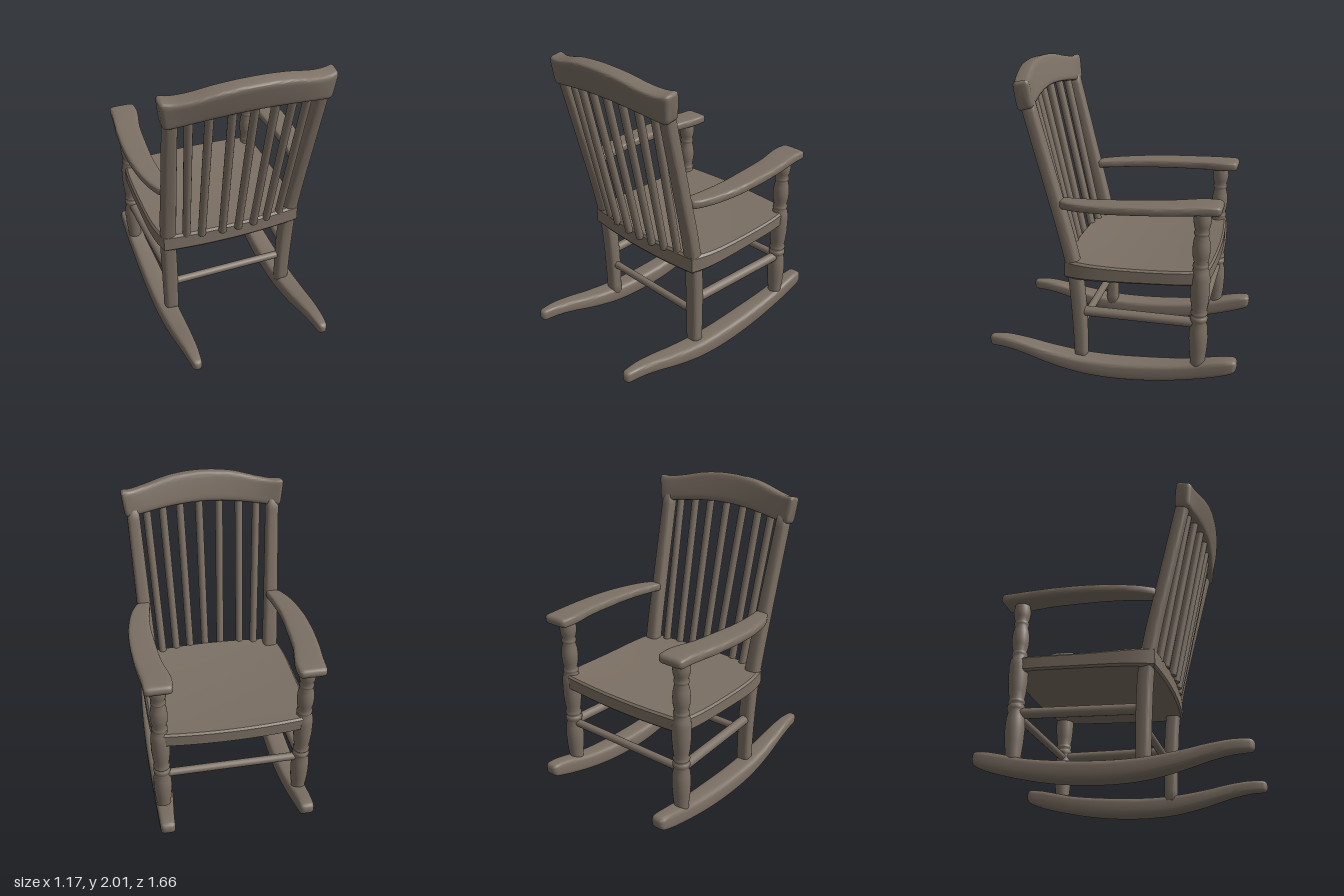
import * as THREE from 'three';
import { toCreasedNormals } from 'three/addons/utils/BufferGeometryUtils.js';

const V = (x, y, z) => new THREE.Vector3(x, y, z);

// Smooth loft through rows; the first number of a row is the position along the part.
// section(row) gives the centre c and half axes u, v; r rounds the two ends.
function loft(rows, section, { steps = 28, power = 4, r = 0.02, sides = 32 } = {}) {
  const stride = rows[0].length;
  const curve = new THREE.CubicInterpolant(rows.map(q => q[0]), rows.flat(), stride);
  const a = rows[0][0], b = rows[rows.length - 1][0];
  const fr = [0, 0.1, 0.35, 0.65];
  const ts = fr.map(f => a + f * r);
  for (let i = 0; i <= steps; i++) ts.push(a + r + (b - a - 2 * r) * i / steps);
  ts.push(...fr.map(f => b - f * r).reverse());

  const pos = [], idx = [];
  for (const t of ts) {
    const { c, u, v } = section(Array.from(curve.evaluate(t)));
    const f = Math.min(1, (t - a) / r, (b - t) / r);
    const cut = r * (1 - Math.sqrt(Math.max(0, 1 - (1 - f) ** 2)));
    u.setLength(Math.max(0.004, u.length() - cut));
    v.setLength(Math.max(0.004, v.length() - cut));
    for (let j = 0; j < sides; j++) {
      const w = j / sides * Math.PI * 2, cs = Math.cos(w), sn = Math.sin(w);
      const p = c.clone()
        .addScaledVector(u, Math.sign(cs) * Math.abs(cs) ** (2 / power))
        .addScaledVector(v, Math.sign(sn) * Math.abs(sn) ** (2 / power));
      pos.push(p.x, p.y, p.z);
    }
  }
  const n = ts.length;
  for (let i = 0; i < n - 1; i++) for (let j = 0; j < sides; j++) {
    const k = (j + 1) % sides, p = i * sides, q = p + sides;
    idx.push(p + j, p + k, q + j, p + k, q + k, q + j);
  }
  for (let j = 1; j < sides - 1; j++) {
    const e = (n - 1) * sides;
    idx.push(0, j + 1, j, e, e + j, e + j + 1);
  }
  const g = new THREE.BufferGeometry();
  g.setAttribute('position', new THREE.Float32BufferAttribute(pos, 3));
  g.setIndex(idx);
  return toCreasedNormals(g, 0.9);
}

// Round bar between two points
function rod(p, q, radius) {
  const d = q.clone().sub(p);
  const g = new THREE.CylinderGeometry(radius, radius, d.length(), 16);
  g.applyQuaternion(new THREE.Quaternion().setFromUnitVectors(V(0, 1, 0), d.normalize()));
  const m = p.clone().add(q).multiplyScalar(0.5);
  return g.translate(m.x, m.y, m.z);
}

// Dished seat board, wider in the middle, bowed at front and back
function seatGeometry() {
  const g = new THREE.BoxGeometry(2, 2, 2, 20, 4, 20), a = g.attributes.position;
  for (let i = 0; i < a.count; i++) {
    const px = a.getX(i), py = a.getY(i), pz = a.getZ(i);
    const inset = Math.abs(py) > 0.9 ? 0.975 : 1;
    const h = Math.abs(py) > 0.4 && Math.abs(py) < 0.9 ? Math.sign(py) * 0.75 : py;
    const x = px * 0.515 * inset * (1 - (pz > 0 ? 0.08 : 0.05) * Math.abs(pz) ** 4);
    const z = -0.17 + pz * inset * (0.455 + 0.03 * (1 - px * px));
    const t = (pz + 1) / 2;
    const top = 0.83 - 0.025 * t - 0.015 * (1 - pz * pz) - 0.012 * (1 - px * px) * (1 - pz * pz);
    const bottom = 0.73 - 0.05 * t;
    a.setXYZ(i, x, bottom + (top - bottom) * (h + 1) / 2, z);
  }
  return toCreasedNormals(g, 0.6);
}

export function createModel() {
  const chair = new THREE.Group();
  chair.name = 'rockingChair';
  const wood = new THREE.MeshStandardMaterial({ color: 0x7c7064 });
  wood.name = 'weathered wood';
  const add = (name, geometry) => {
    const m = new THREE.Mesh(geometry, wood);
    m.name = name;
    chair.add(m);
    return m;
  };

  add('seat', seatGeometry());

  // Section tables: [z, x, halfWidth, bottom, top] for parts running along z
  const alongZ = s => ([z, x, w, lo, hi]) =>
    ({ c: V(s * x, (lo + hi) / 2, z), u: V(w, 0, 0), v: V(0, (hi - lo) / 2, 0) });
  const rockerRows = [
    [-0.83, 0.46, 0.047, 0.155, 0.235], [-0.76, 0.46, 0.05, 0.125, 0.232],
    [-0.5, 0.45, 0.062, 0.055, 0.172], [-0.25, 0.445, 0.07, 0.014, 0.14],
    [0, 0.445, 0.072, 0, 0.124], [0.2, 0.445, 0.07, 0.01, 0.127],
    [0.4, 0.445, 0.064, 0.047, 0.15], [0.6, 0.445, 0.052, 0.1, 0.186],
    [0.72, 0.445, 0.042, 0.12, 0.2], [0.835, 0.445, 0.028, 0.122, 0.195]];
  const armRows = [
    [-0.7, 0.462, 0.085, 1.2, 1.262], [-0.6, 0.462, 0.09, 1.198, 1.262],
    [-0.4, 0.492, 0.083, 1.188, 1.25], [-0.2, 0.505, 0.08, 1.178, 1.239],
    [0, 0.505, 0.072, 1.167, 1.226], [0.2, 0.478, 0.06, 1.156, 1.213],
    [0.31, 0.445, 0.044, 1.15, 1.206]];
  // Back posts: [y, x, z, halfWidth, halfDepth]
  const postRows = [
    [0.09, 0.42, 0.198, 0.046, 0.042], [0.4, 0.422, 0.205, 0.05, 0.046],
    [0.7, 0.43, 0.226, 0.05, 0.047], [0.95, 0.438, 0.275, 0.049, 0.046],
    [1.2, 0.446, 0.337, 0.046, 0.045], [1.82, 0.466, 0.492, 0.041, 0.045]];
  // Turned front leg: [radius, y]
  const legProfile = [
    [0, 0.1], [0.044, 0.1], [0.047, 0.2], [0.056, 0.28], [0.06, 0.36], [0.057, 0.43],
    [0.047, 0.47], [0.054, 0.485], [0.056, 0.5], [0.052, 0.512], [0.045, 0.518],
    [0.053, 0.528], [0.054, 0.54], [0.046, 0.553], [0.054, 0.6], [0.06, 0.67],
    [0.061, 0.77], [0.055, 0.815], [0.044, 0.835], [0.05, 0.848], [0.05, 0.862],
    [0.042, 0.873], [0.052, 0.915], [0.055, 0.96], [0.051, 1.01], [0.041, 1.048],
    [0.047, 1.06], [0.048, 1.072], [0.041, 1.085], [0.05, 1.11], [0.055, 1.15],
    [0.05, 1.19], [0.045, 1.22], [0, 1.22]].map(p => new THREE.Vector2(...p));

  for (const s of [-1, 1]) {
    const side = s > 0 ? 'left' : 'right';
    add(side + 'Rocker', loft(rockerRows, alongZ(s), { r: 0.03, steps: 36 }));
    add(side + 'Armrest', loft(armRows, alongZ(s), { r: 0.028, power: 5 }));
    add(side + 'BackPost', loft(postRows, ([y, x, z, w, d]) =>
      ({ c: V(s * x, y, z), u: V(0, 0, d), v: V(w, 0, 0) }), { r: 0.005, power: 3.2 }));
    const leg = add(side + 'FrontLeg', new THREE.LatheGeometry(legProfile, 24));
    leg.position.set(s * 0.46, 0, -0.58);
    add(side + 'Stretcher', rod(V(s * 0.425, 0.438, 0.2), V(s * 0.46, 0.463, -0.58), 0.033));
  }
  add('frontStretcher', rod(V(-0.46, 0.46, -0.58), V(0.46, 0.46, -0.58), 0.026));
  add('rearStretcher', rod(V(-0.42, 0.335, 0.2), V(0.42, 0.335, 0.2), 0.026));

  // Back spindles fan outward and follow the bowed crest
  const spindles = [[-0.32, -0.362], [-0.222, -0.247], [-0.085, -0.116], [0.025, 0.02],
    [0.135, 0.15], [0.235, 0.267], [0.335, 0.376]];
  for (const [lo, hi] of spindles) add('backSpindle', rod(
    V(lo, 0.78, 0.322 - 0.42 * lo * lo), V(hi, 1.84, 0.555 - 0.33 * hi * hi), 0.026));

  // Crest rail: [x, bottom, top, zBottom, zTop]
  const crestHalf = [[0, 1.812, 2, 0.535, 0.592], [0.2, 1.802, 1.985, 0.526, 0.58],
    [0.38, 1.78, 1.945, 0.505, 0.545], [0.47, 1.767, 1.934, 0.492, 0.518],
    [0.527, 1.762, 1.942, 0.485, 0.503]];
  const crestRows = [...crestHalf.slice(1).reverse().map(([x, ...q]) => [-x, ...q]), ...crestHalf];
  add('crestRail', loft(crestRows, ([x, lo, hi, zl, zh]) => ({
    c: V(x, (lo + hi) / 2, (zl + zh) / 2),
    u: V(0.02 * x, (hi - lo) / 2, (zh - zl) / 2),
    v: V(0, -0.012, 0.052),
  }), { r: 0.025, power: 6, steps: 36, sides: 40 }));

  return chair;
}
